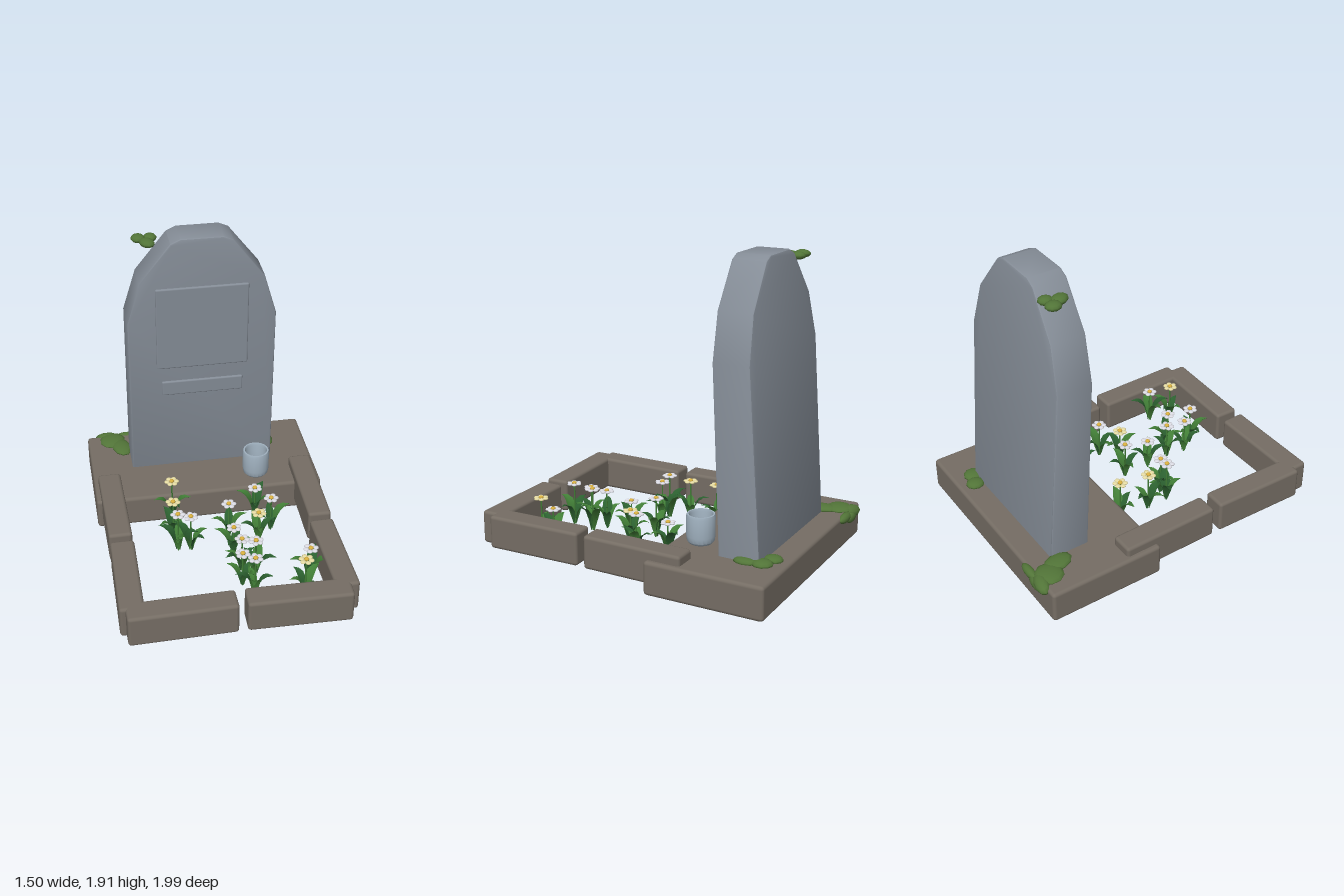
import * as THREE from 'three';
import { toCreasedNormals } from 'three/addons/utils/BufferGeometryUtils.js';
import { RoundedBoxGeometry } from 'three/addons/geometries/RoundedBoxGeometry.js';

const paint = (name, color, side = THREE.FrontSide) => {
  const m = new THREE.MeshStandardMaterial({ color, side });
  m.name = name;
  return m;
};

export function createModel() {
  const stone = paint('grey stone', 0x858d97);
  const kerbStone = paint('brown stone', 0x756d64);
  const glaze = paint('pale blue glaze', 0x9fb0be, THREE.DoubleSide);
  const mossGreen = paint('moss green', 0x527538);
  const darkLeaf = paint('dark leaf green', 0x2c6130, THREE.DoubleSide);
  const leafGreen = paint('leaf green', 0x427f37, THREE.DoubleSide);
  const white = paint('white petal', 0xdcdce4);
  const cream = paint('cream petal', 0xe6dca4);
  const yellow = paint('flower yellow', 0xd9b040);

  const root = new THREE.Group();
  root.name = 'grave';
  const add = (name, geo, mat, x = 0, y = 0, z = 0, parent = root) => {
    const mesh = new THREE.Mesh(geo, mat);
    mesh.name = name;
    mesh.position.set(x, y, z);
    parent.add(mesh);
    return mesh;
  };

  // Plinth under the headstone
  add('plinth', new RoundedBoxGeometry(1.5, 0.21, 0.755, 2, 0.022), kerbStone, 0, 0.105, -0.578);

  // Kerb stones, each slightly askew: x, z, width, depth, turn
  [
    [-0.642, -0.1, 0.148, 0.65, 0.016], [0.642, -0.1, 0.148, 0.65, -0.016],
    [-0.638, 0.588, 0.15, 0.625, -0.012], [0.636, 0.588, 0.15, 0.625, 0.02],
    [-0.352, 0.908, 0.655, 0.152, 0.016], [0.346, 0.908, 0.635, 0.155, -0.022],
  ].forEach(([x, z, w, d, turn]) => {
    add('kerb', new RoundedBoxGeometry(w, 0.21, d, 2, 0.02), kerbStone, x, 0.163, z).rotation.y = turn;
  });

  // Headstone: faceted outline, leaning forward and thinning towards the top
  const half = [[0.463, 0.215], [0.463, 1.345], [0.382, 1.62], [0.187, 1.872], [0.13, 1.898]];
  const outline = [...half, ...half.slice().reverse().map(([x, y]) => [-x, y])];
  const slab = new THREE.ExtrudeGeometry(
    new THREE.Shape(outline.map(([x, y]) => new THREE.Vector2(x, y))),
    { depth: 0.23, bevelEnabled: true, bevelThickness: 0.012, bevelSize: 0.012, bevelSegments: 2 },
  );
  const frontZ = (y) => -0.545 + ((y - 0.21) / 1.7) * 0.075;
  const backZ = (y) => -0.805 + ((y - 0.21) / 1.7) * 0.118;
  const p = slab.attributes.position;
  for (let i = 0; i < p.count; i++) {
    const y = p.getY(i);
    p.setZ(i, THREE.MathUtils.lerp(backZ(y), frontZ(y), (p.getZ(i) + 0.012) / 0.254));
  }
  add('headstone', toCreasedNormals(slab, 0.6), stone);

  // Raised panels on the leaning face
  [['mainPanel', 0.59, 0.585, 1.29], ['lowerPanel', 0.53, 0.105, 0.843]].forEach(([name, w, h, y]) => {
    add(name, new RoundedBoxGeometry(w, h, 0.03, 2, 0.01), stone, 0, y, frontZ(y) - 0.002)
      .rotation.x = Math.atan(0.075 / 1.7);
  });

  // Hollow vase
  const vase = new THREE.LatheGeometry([
    [0, 0], [0.07, 0], [0.083, 0.015], [0.088, 0.05], [0.088, 0.165], [0.084, 0.18],
    [0.074, 0.18], [0.07, 0.165], [0.068, 0.03], [0.022, 0.024], [0.014, 0.034], [0, 0.036],
  ].map(([r, y]) => new THREE.Vector2(r, y)), 20);
  add('vase', toCreasedNormals(vase, 0.6), glaze, 0.335, 0.21, -0.362);

  // Moss cushions: x, y, z, radii, turn, droop
  const cushion = new THREE.SphereGeometry(1, 10, 7);
  [
    ['topMoss', [
      [-0.37, 1.85, -0.665, 0.045, 0.025, 0.05, 0, 0],
      [-0.295, 1.848, -0.67, 0.042, 0.024, 0.045, 0, 0],
      [-0.322, 1.846, -0.6, 0.045, 0.025, 0.06, 0.4, 0],
    ]],
    ['cornerMoss', [
      [-0.61, 0.195, -0.95, 0.085, 0.035, 0.045, -0.2, -0.4],
      [-0.48, 0.19, -0.955, 0.08, 0.03, 0.03, 0, -0.3],
      [-0.58, 0.212, -0.88, 0.09, 0.025, 0.09, 0.3, 0],
      [-0.525, 0.214, -0.79, 0.065, 0.024, 0.1, 0.2, 0],
      [-0.57, 0.17, -0.965, 0.07, 0.035, 0.025, 0, 0],
    ]],
    ['sideMoss', [
      [0.38, 0.215, -0.85, 0.055, 0.026, 0.06, 0, 0],
      [0.465, 0.215, -0.82, 0.06, 0.026, 0.065, 0.3, 0],
      [0.48, 0.215, -0.72, 0.045, 0.024, 0.075, 0, 0],
    ]],
  ].forEach(([name, lobes]) => {
    const group = new THREE.Group();
    group.name = name;
    lobes.forEach(([x, y, z, a, b, c, turn, droop]) => {
      const lobe = add('mossLobe', cushion, mossGreen, x, y, z, group);
      lobe.scale.set(a, b, c);
      lobe.rotation.set(droop, turn, 0);
    });
    root.add(group);
  });

  // Leaf blade: pointed, folded along the middle, arching outwards along +z
  const leaf = new THREE.PlaneGeometry(1, 1, 2, 5);
  const lp = leaf.attributes.position;
  for (let i = 0; i < lp.count; i++) {
    const side = lp.getX(i) * 2;
    const t = lp.getY(i) + 0.5;
    const w = 0.003 + 0.028 * Math.sin(Math.PI * Math.pow(t, 0.85));
    lp.setXYZ(i, side * w * (t > 0.99 ? 0 : 1),
      0.16 * Math.sin(t * 1.7) + Math.abs(side) * w * 0.4, 0.012 + 0.11 * t * t);
  }
  leaf.computeVertexNormals();

  const petal = new THREE.SphereGeometry(1, 8, 6);
  const stem = new THREE.CylinderGeometry(0.005, 0.006, 1, 6);
  let seed = 7;
  const rand = () => (seed = (seed * 16807) % 2147483647) / 2147483647;

  // Flowers: x, z, blossom height, cream petals or white
  [
    [-0.26, -0.17, 0.342, 1], [-0.28, 0.03, 0.33, 1], [-0.27, 0.18, 0.345, 0],
    [-0.19, 0.19, 0.325, 0], [0.28, -0.11, 0.265, 0], [0.35, 0.07, 0.31, 0],
    [0.07, 0.09, 0.315, 0], [0.25, 0.17, 0.28, 1], [0.07, 0.27, 0.265, 0],
    [0.09, 0.44, 0.31, 0], [0.165, 0.5, 0.335, 0], [0.07, 0.57, 0.305, 0],
    [0.13, 0.66, 0.335, 0], [0.49, 0.58, 0.295, 0], [0.43, 0.71, 0.325, 1],
  ].forEach(([x, z, top, isCream]) => {
    const plant = new THREE.Group();
    plant.name = 'flower';
    plant.position.set(x, 0.06, z);
    const h = top - 0.06;
    add('stem', stem, leafGreen, 0, h / 2, 0, plant).scale.y = h;
    const start = rand() * 6.28;
    for (let i = 0; i < 4; i++) {
      const blade = add('leaf', leaf, i % 2 ? leafGreen : darkLeaf, 0, 0, 0, plant);
      blade.rotation.y = start + i * 1.57 + (rand() - 0.5) * 0.8;
      blade.scale.setScalar(0.8 + rand() * 0.3);
    }
    for (let i = 0; i < 6; i++) {
      const a = start + (i * Math.PI) / 3;
      add('petal', petal, isCream ? cream : white, Math.cos(a) * 0.031, h, Math.sin(a) * 0.031, plant)
        .scale.set(0.018, 0.008, 0.018);
    }
    add('flowerCentre', petal, yellow, 0, h + 0.005, 0, plant).scale.set(0.016, 0.011, 0.016);
    root.add(plant);
  });

  return root;
}
